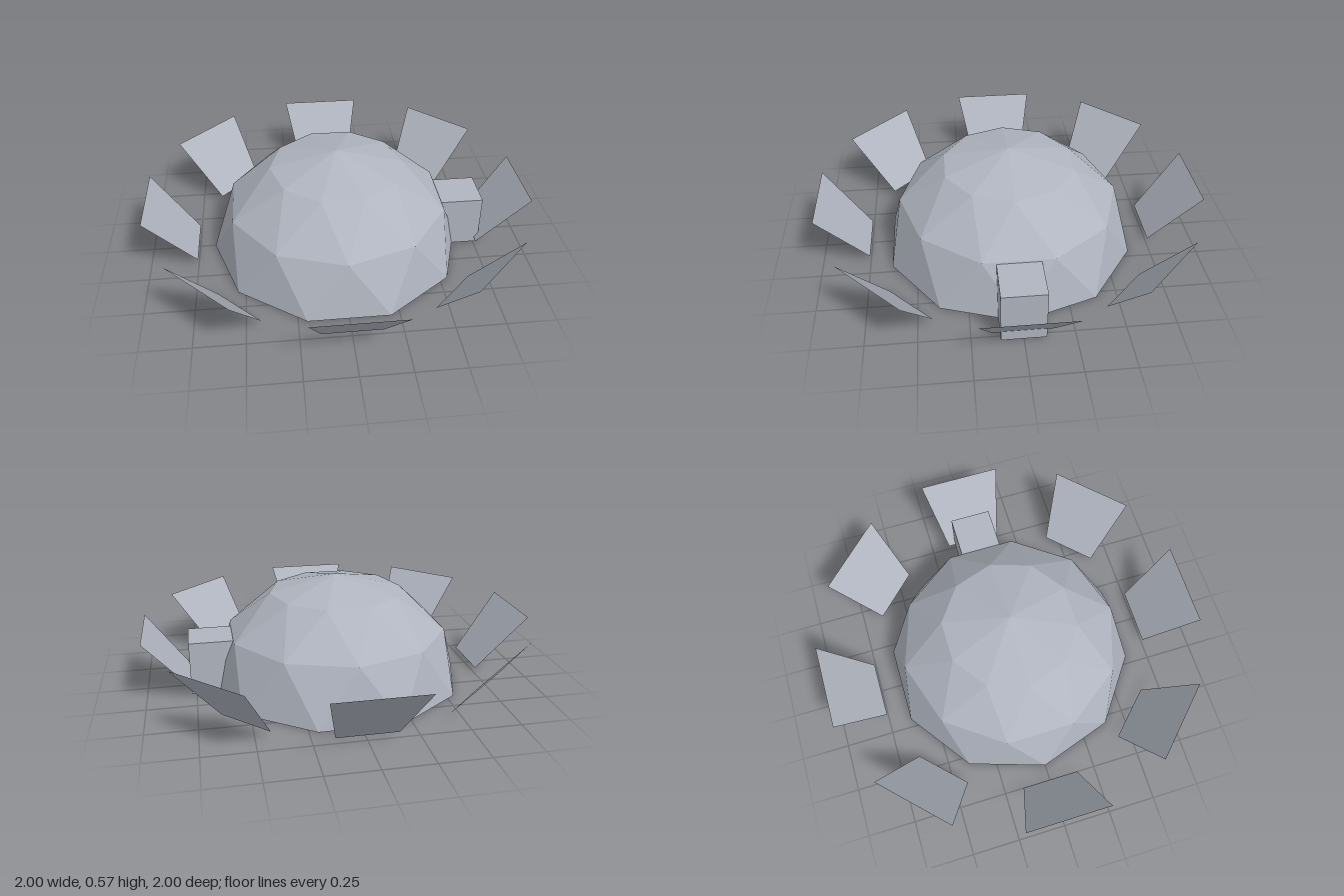
import * as THREE from 'three';

const SEGMENTS = 10;
const PANELS = 8;

// Flat-shaded mesh from a list of triangles, each made of three points
function facets(name, triangles, material) {
  const geometry = new THREE.BufferGeometry().setFromPoints(triangles.flat());
  geometry.computeVertexNormals();
  const mesh = new THREE.Mesh(geometry, material);
  mesh.name = name;
  return mesh;
}

// Ring of points; turn is a fraction of one segment
function ring(radius, y, turn) {
  return Array.from({ length: SEGMENTS }, (_, i) => {
    const a = ((i + turn) / SEGMENTS) * Math.PI * 2;
    return new THREE.Vector3(Math.cos(a) * radius, y, Math.sin(a) * radius);
  });
}

// Open dome of staggered rings joined by triangles
function createDome(material) {
  const base = ring(0.667, 0, 0);
  const middle = ring(0.577, 0.285, 0.5);
  const upper = ring(0.347, 0.485, 1);
  const apex = new THREE.Vector3(0, 0.57, 0);
  const triangles = [];
  for (const [low, high] of [[base, middle], [middle, upper]]) {
    for (let i = 0; i < SEGMENTS; i++) {
      const j = (i + 1) % SEGMENTS;
      triangles.push([low[i], high[i], low[j]], [low[j], high[i], high[j]]);
    }
  }
  for (let i = 0; i < SEGMENTS; i++) {
    triangles.push([upper[i], apex, upper[(i + 1) % SEGMENTS]]);
  }
  return facets('dome', triangles, material);
}

// Outward-leaning trapezoid, drawn on the +z side
function createPanel(material) {
  const a = new THREE.Vector3(-0.15, 0.03, 0.753);
  const b = new THREE.Vector3(0.15, 0.03, 0.753);
  const c = new THREE.Vector3(0.222, 0.333, 1);
  const d = new THREE.Vector3(-0.222, 0.333, 1);
  return facets('panel', [[a, b, c], [a, c, d]], material);
}

export function createModel() {
  const model = new THREE.Group();
  model.name = 'domeShelter';

  const grey = new THREE.MeshStandardMaterial({
    color: 0xb0b5c0, flatShading: true, side: THREE.DoubleSide,
  });
  grey.name = 'pale grey';

  model.add(createDome(grey));

  // Entrance block on the left side
  const entrance = new THREE.Mesh(new THREE.BoxGeometry(0.224, 0.277, 0.22), grey);
  entrance.name = 'entrance';
  entrance.position.set(0.664, 0.1385, 0);
  model.add(entrance);

  // Ring of panels around the dome
  const panels = new THREE.Group();
  panels.name = 'panelRing';
  for (let i = 0; i < PANELS; i++) {
    const panel = createPanel(grey);
    panel.rotation.y = (i / PANELS) * Math.PI * 2;
    panels.add(panel);
  }
  model.add(panels);

  return model;
}
